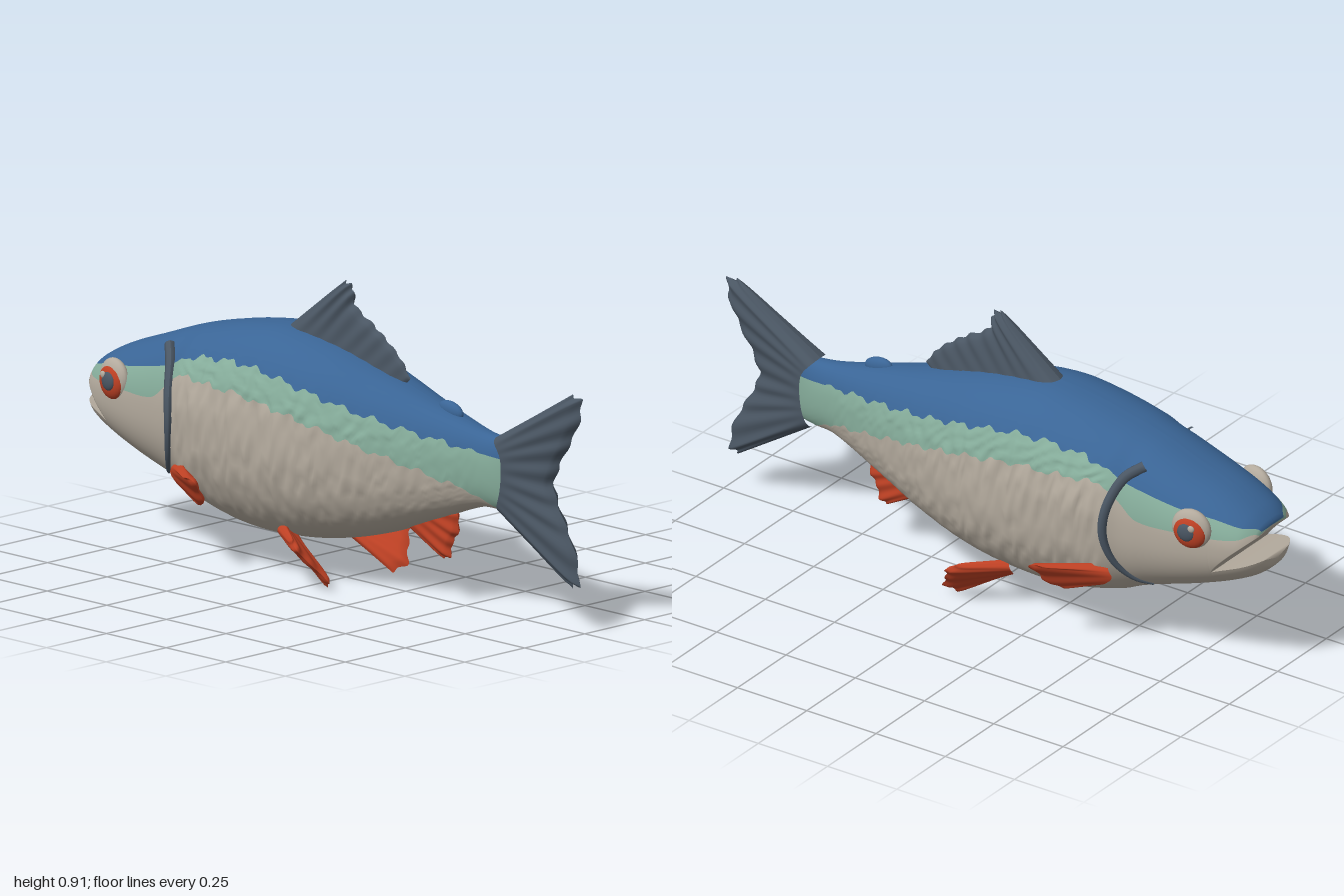
import * as THREE from 'three';

const mat = (name, color) => Object.assign(new THREE.MeshStandardMaterial({ color }), { name });
const V = (x, y, z) => new THREE.Vector3(x, y, z);

// body stations: x, top, bottom, half width, lower edge of back colour, lower edge of flank band
const STATIONS = [
  [-1.0, 0.485, 0.375, 0.06, 0.47, 0.465],
  [-0.975, 0.517, 0.35, 0.105, 0.505, 0.495],
  [-0.94, 0.545, 0.328, 0.135, 0.515, 0.485],
  [-0.86, 0.585, 0.292, 0.162, 0.535, 0.48],
  [-0.75, 0.625, 0.252, 0.185, 0.55, 0.48],
  [-0.62, 0.672, 0.208, 0.198, 0.575, 0.485],
  [-0.56, 0.69, 0.185, 0.205, 0.59, 0.53],
  [-0.5, 0.705, 0.16, 0.226, 0.62, 0.57],
  [-0.35, 0.735, 0.124, 0.24, 0.645, 0.57],
  [-0.2, 0.748, 0.114, 0.24, 0.645, 0.56],
  [0, 0.718, 0.133, 0.222, 0.61, 0.525],
  [0.2, 0.662, 0.182, 0.172, 0.565, 0.475],
  [0.4, 0.605, 0.258, 0.112, 0.53, 0.425],
  [0.58, 0.56, 0.325, 0.062, 0.505, 0.375],
  [0.66, 0.55, 0.33, 0.046, 0.495, 0.335],
  [0.71, 0.55, 0.335, 0.03, 0.49, 0.335],
];

// smooth interpolation of one station column
function station(x, k) {
  const S = STATIONS, last = S.length - 1;
  let i = 0;
  while (i < last - 1 && x > S[i + 1][0]) i++;
  const slope = (j) => {
    const a = S[Math.max(j - 1, 0)], b = S[Math.min(j + 1, last)];
    return (b[k] - a[k]) / (b[0] - a[0]);
  };
  const d = S[i + 1][0] - S[i][0], t = THREE.MathUtils.clamp((x - S[i][0]) / d, 0, 1);
  const t2 = t * t, t3 = t2 * t;
  return (2 * t3 - 3 * t2 + 1) * S[i][k] + (t3 - 2 * t2 + t) * d * slope(i)
    + (3 * t2 - 2 * t3) * S[i + 1][k] + (t3 - t2) * d * slope(i + 1);
}

// superellipse section
const POW = 2.3;
function section(x) {
  const top = station(x, 1), bottom = station(x, 2);
  return { c: (top + bottom) / 2, h: (top - bottom) / 2, w: station(x, 3), top, bottom };
}
function angleAt(s, y) {
  const q = THREE.MathUtils.clamp((y - s.c) / s.h, -1, 1);
  return Math.acos(Math.sign(q) * Math.abs(q) ** (POW / 2));
}
const halfWidthAt = (s, a) => s.w * Math.abs(Math.sin(a)) ** (2 / POW);
function skinPoint(x, y, side, lift = 0) {
  const s = section(x);
  return V(x, y, side * (halfWidthAt(s, angleAt(s, y)) + lift));
}

// skin between x0 and x1 in three colour bands, limited above and below by lip lines
function skin(x0, x1, steps, upper, lower, capStart, capEnd) {
  const { smoothstep, clamp } = THREE.MathUtils;
  const counts = [12, 7, 20], rows = [], bands = [];
  for (let i = 0; i <= steps; i++) {
    const x = x0 + (x1 - x0) * i / steps, s = section(x);
    const hi = upper ? upper(x) : s.top, lo = lower ? lower(x) : s.bottom;
    const scaly = smoothstep(x, -0.53, -0.48) * (1 - smoothstep(x, 0.5, 0.66));
    const jag = (0.6 * Math.sin(x * 57) + 0.4 * Math.sin(x * 131 + 1)) * 0.011 * scaly;
    const b1 = clamp(station(x, 4) + jag, lo, hi), b2 = clamp(station(x, 5) - jag, lo, b1);
    const edges = [hi, b1, b2, lo].map((y) => angleAt(s, y));
    const half = [];
    counts.forEach((n, b) => {
      for (let j = b ? 1 : 0; j <= n; j++) {
        const a = edges[b] + (edges[b + 1] - edges[b]) * j / n;
        const fade = smoothstep(a, edges[1] - 0.1, edges[1] + 0.15) * (1 - smoothstep(a, 2.1, 2.7));
        const bump = Math.sin(x * 75 + 3 * Math.sin(a * 9)) * Math.sin(a * 24 + 2 * Math.sin(x * 33));
        const z = halfWidthAt(s, a) * (1 + 0.028 * scaly * fade * bump);
        const q = Math.cos(a);
        half.push(V(x, s.c + s.h * Math.sign(q) * Math.abs(q) ** (2 / POW), z));
      }
    });
    rows.push([...half, ...half.slice().reverse().map((p) => V(p.x, p.y, -p.z))]);
  }
  const pinch = (row) => {
    const y = (row[0].y + row[39].y) / 2;
    return row.map((p) => V(p.x, y, 0));
  };
  if (capStart) rows.unshift(pinch(rows[0]));
  if (capEnd) rows.push(pinch(rows[rows.length - 1]));
  // band index of each column; the last column closes the ring
  counts.forEach((n, b) => { for (let j = 0; j < n; j++) bands.push(b); });
  const columns = [...bands, 2, ...bands.slice().reverse(), upper ? 2 : 0];
  const W = rows[0].length, index = [], g = new THREE.BufferGeometry().setFromPoints(rows.flat());
  for (let b = 0; b < 3; b++) {
    const start = index.length;
    columns.forEach((band, j) => {
      if (band !== b) return;
      for (let i = 0; i < rows.length - 1; i++) {
        const p = i * W + j, q = i * W + (j + 1) % W;
        index.push(p, q, p + W, q, q + W, p + W);
      }
    });
    g.addGroup(start, index.length - start, b);
  }
  g.setIndex(index);
  g.computeVertexNormals();
  return g;
}

// ribbed fin spanning a root curve and a tip curve, with thickness on both faces
function fin(root, tip, thick, rays, side = 1) {
  const curve = (pts) => new THREE.CatmullRomCurve3(pts.map(([x, y, z = 0]) => V(x, y, z * side)), false, 'centripetal');
  const A = curve(root), B = curve(tip), NU = 64, NV = 14, W = NV + 1;
  const a0 = A.getPoint(0), a1 = A.getPoint(1), b0 = B.getPoint(0), b1 = B.getPoint(1);
  const along = a1.clone().add(b1).sub(a0).sub(b0), out = b0.clone().add(b1).sub(a0).sub(a1);
  const normal = along.cross(out).normalize();
  const pts = [], index = [];
  for (const face of [1, -1]) {
    const o = pts.length;
    for (let i = 0; i <= NU; i++) for (let j = 0; j <= NV; j++) {
      const u = i / NU, v = j / NV, rib = Math.cos(u * Math.PI * 2 * rays);
      const reach = v * (1 - 0.025 * (1 - rib));
      const edge = Math.sqrt(Math.max(0, (1 - (2 * u - 1) ** 8) * (1 - v ** 10)));
      const t = thick(u, v) * edge * (1 + 0.16 * rib * v);
      pts.push(A.getPoint(u).lerp(B.getPoint(u), reach).addScaledVector(normal, face * t));
      if (i < NU && j < NV) {
        const a = o + i * W + j, b = a + W;
        if (face > 0) index.push(a, b, a + 1, b, b + 1, a + 1);
        else index.push(a, a + 1, b, b, a + 1, b + 1);
      }
    }
  }
  const g = new THREE.BufferGeometry().setFromPoints(pts);
  g.setIndex(index);
  g.computeVertexNormals();
  return g;
}

export function createModel() {
  const model = new THREE.Group();
  model.name = 'fish';
  const blue = mat('back blue', 0x3a6596), teal = mat('flank green', 0x86ad9b), cream = mat('belly cream', 0xb3aa9d);
  const slate = mat('fin slate', 0x4a5663), red = mat('fin red', 0xbf4124);
  const add = (name, geometry, material, parent = model) => {
    const m = new THREE.Mesh(geometry, material);
    m.name = name;
    parent.add(m);
    return m;
  };

  // body and open mouth
  const coat = [blue, teal, cream], CORNER = -0.86;
  const lip = (x, tipX, tipY) => 0.362 + (tipY - 0.362) * ((CORNER - x) / (CORNER - tipX)) ** 0.85;
  add('body', skin(CORNER, 0.71, 190, null, null, false, true), coat);
  add('upperJaw', skin(-0.982, CORNER, 16, null, (x) => lip(x, -0.982, 0.487), true, false), coat);
  add('lowerJaw', skin(-1.0, CORNER, 16, (x) => lip(x, -1.0, 0.41), null, true, false), coat);
  const bump = add('backBump', new THREE.SphereGeometry(1, 20, 12), blue);
  bump.scale.set(0.05, 0.028, 0.018);
  bump.position.set(0.44, 0.593, 0);
  bump.rotation.z = -0.2;

  // unpaired fins
  add('dorsalFin', fin(
    [[-0.24, 0.73], [0, 0.69], [0.24, 0.63]],
    [[0.0, 0.915], [0.03, 0.905], [0.04, 0.85], [0.11, 0.805], [0.17, 0.765], [0.23, 0.715], [0.27, 0.66]],
    (u, v) => 0.052 * (1 - 0.6 * v) * (1 - 0.65 * u), 8), slate);
  add('tailFin', fin(
    [[0.65, 0.555], [0.69, 0.5], [0.69, 0.4], [0.665, 0.325]],
    [[0.95, 0.73], [0.995, 0.72], [0.975, 0.63], [0.915, 0.53], [0.875, 0.44], [0.905, 0.36], [0.96, 0.26], [0.985, 0.15], [0.95, 0.14]],
    (u, v) => 0.047 - 0.027 * v, 9), slate);
  add('analFin', fin(
    [[0.25, 0.225], [0.34, 0.26], [0.41, 0.3]],
    [[0.41, 0.137], [0.44, 0.145], [0.45, 0.19], [0.472, 0.225], [0.468, 0.28], [0.44, 0.298]],
    (u, v) => 0.026 - 0.012 * v, 5), red);

  for (const side of [1, -1]) {
    const label = side > 0 ? 'left' : 'right';

    // paired fins
    add(label + 'PectoralFin', fin(
      [[-0.52, 0.3, 0.19], [-0.53, 0.275, 0.185], [-0.49, 0.235, 0.185]],
      [[-0.36, 0.305, 0.315], [-0.32, 0.298, 0.318], [-0.325, 0.255, 0.285], [-0.345, 0.215, 0.25], [-0.385, 0.2, 0.225]],
      (u, v) => 0.017 - 0.006 * v, 3, side), red);
    add(label + 'PelvicFin', fin(
      [[-0.13, 0.17, 0.145], [-0.13, 0.145, 0.125], [-0.11, 0.12, 0.095]],
      [[0.0, 0.16, 0.23], [0.035, 0.137, 0.24], [0.06, 0.09, 0.205], [0.095, 0.035, 0.165], [0.06, 0.01, 0.135]],
      (u, v) => 0.017 - 0.006 * v, 4, side), red);

    // gill slit, thinning towards the throat
    const gill = new THREE.CatmullRomCurve3([[-0.61, 0.635], [-0.565, 0.6], [-0.53, 0.51], [-0.522, 0.42],
      [-0.545, 0.33], [-0.59, 0.265], [-0.63, 0.24]].map(([x, y]) => skinPoint(x, y, side, 0.002)));
    const slit = new THREE.TubeGeometry(gill, 48, 0.017, 8);
    const p = slit.attributes.position, v = new THREE.Vector3();
    for (let i = 0; i < p.count; i++) {
      const t = Math.floor(i / 9) / 48, c = gill.getPointAt(t);
      v.fromBufferAttribute(p, i).sub(c).multiplyScalar(1 - 0.75 * t * t).add(c);
      p.setXYZ(i, v.x, v.y, v.z);
    }
    slit.computeVertexNormals();
    add(label + 'GillSlit', slit, slate);

    // eye: socket, iris, pupil and glint
    const eye = new THREE.Group();
    eye.name = label + 'Eye';
    eye.position.copy(skinPoint(-0.805, 0.5, side));
    eye.rotation.y = -0.15 * side;
    model.add(eye);
    const disc = (name, material, r, depth, x, y, z) => {
      const m = add(name, new THREE.SphereGeometry(1, 24, 16), material, eye);
      m.scale.set(r, r, depth);
      m.position.set(x, y, z * side);
    };
    disc('eyeSocket', cream, 0.064, 0.028, 0, 0.003, -0.002);
    disc('iris', red, 0.054, 0.025, 0, -0.003, 0.007);
    disc('pupil', slate, 0.029, 0.012, 0.005, 0, 0.025);
    disc('glint', cream, 0.011, 0.006, -0.014, 0.018, 0.031);
  }
  return model;
}
